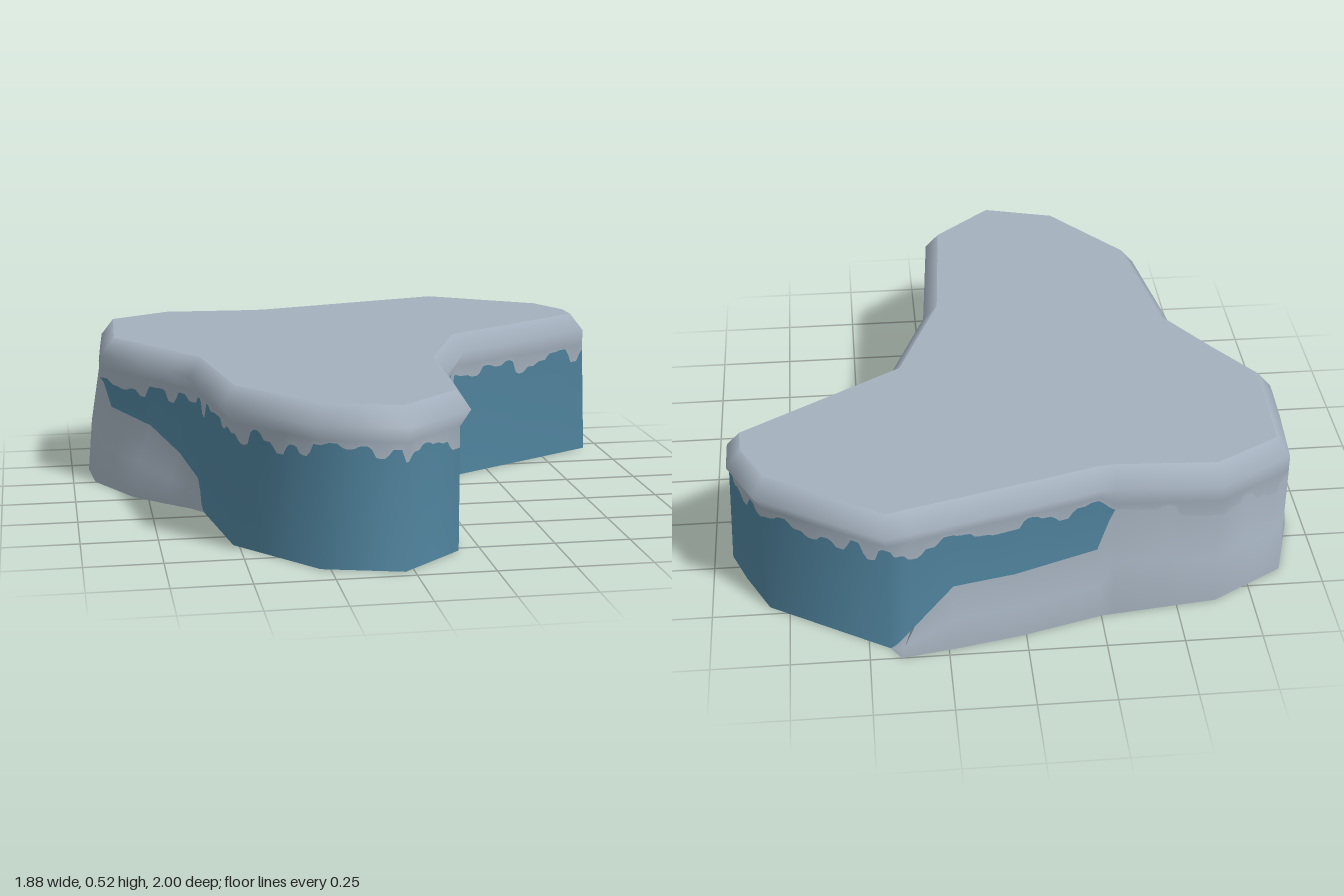
import * as THREE from 'three';

// Corners of the plateau, anticlockwise from the front tip:
// [rim x, rim z, drift height, base x, base z, wall inset]
const FULL = 0.4;
const corners = [
  [-0.02, 0.995], [0.21, 0.79], [0.25, 0.27], [0.39, -0.1],
  [0.925, -0.44, 0, 0.94, -0.44, 0], [0.925, -0.57], [0.84, -0.74], [0.44, -0.985],
  [0.36, -0.965, 0.05, 0.4, -1], [0.22, -0.928, 0.19, 0.22, -0.97],
  [0.02, -0.873, 0.18, 0.02, -0.93], [-0.25, -0.798, 0.2, -0.25, -0.855],
  [-0.29, -0.793, FULL, -0.29, -0.85], [-0.63, -0.81, FULL, -0.63, -0.81],
  [-0.87, -0.67, FULL, -0.87, -0.67], [-0.885, -0.44, FULL, -0.94, -0.44],
  [-0.89, -0.3, FULL, -0.925, -0.28], [-0.89, -0.26, 0.27, -0.92, -0.25],
  [-0.76, -0.07, 0.24, -0.8, -0.03], [-0.67, 0.065, 0.17, -0.7, 0.07],
  [-0.62, 0.14, 0.1, -0.62, 0.145], [-0.61, 0.21], [-0.55, 0.61], [-0.3, 0.92],
];
const TOP = 0.52, RIM = 0.46, UNDER = 0.405;

// Ragged lower border of the cap, as a function of distance along the outline
const hash = (i) => { const v = Math.sin(i * 127.1 + 3.7) * 43758.5453; return v - Math.floor(v); };
function ragged(s) {
  const c = s / 0.055, i = Math.floor(c);
  const f = THREE.MathUtils.smoothstep(c - i, 0.25, 0.75);
  return 0.335 + 0.065 * THREE.MathUtils.lerp(hash(i), hash(i + 1), f);
}

// Outward normal, wall line and base line at each corner
function prepareCorners() {
  const n = corners.length;
  const pt = (i) => new THREE.Vector2(corners[(i + n) % n][0], corners[(i + n) % n][1]);
  const edgeNormal = (a, b) => { const d = b.clone().sub(a).normalize(); return new THREE.Vector2(-d.y, d.x); };
  return corners.map(([x, z, drift = 0, bx, bz, inset = 0.035], i) => {
    const rim = pt(i);
    const normal = edgeNormal(pt(i - 1), rim).add(edgeNormal(rim, pt(i + 1))).normalize();
    let under = rim.clone().addScaledVector(normal, -inset);
    const base = bx === undefined ? under.clone() : new THREE.Vector2(bx, bz);
    if (drift === FULL) under = rim.clone().lerp(base, 0.12);
    const top = rim.clone().addScaledVector(normal, -0.05);
    return { rim, normal, under, base, top, drift };
  });
}

// Fine columns along the outline, each a stack of seven points from ground to top
function buildColumns() {
  const list = prepareCorners(), columns = [];
  let s = 0;
  list.forEach((a, k) => {
    const b = list[(k + 1) % list.length];
    const length = a.rim.distanceTo(b.rim);
    const steps = Math.max(1, Math.ceil(length / 0.015));
    for (let j = 0; j < steps; j++) {
      const t = j / steps;
      const mix = (key) => a[key].clone().lerp(b[key], t);
      const normal = mix('normal').normalize();
      const base = mix('base'), under = mix('under');
      const border = ragged(s + t * length);
      const drift = Math.min(THREE.MathUtils.lerp(a.drift, b.drift, t), border);
      const foot = base.clone().lerp(under, Math.min(1, drift / 0.05));
      const row = (p, y, tilt) => ({
        p: [p.x, y, p.y],
        n: [normal.x * Math.cos(tilt), Math.sin(tilt), normal.y * Math.cos(tilt)],
      });
      columns.push([
        row(base, 0, 0.05),
        row(base.clone().lerp(foot, 0.35), drift / 2, 0.2),
        row(foot, drift, 0.08),
        row(under, border, 0),
        row(under, UNDER, -0.1),
        row(mix('rim'), RIM, 0.3),
        row(mix('top'), TOP, 1.2),
      ]);
    }
    s += length;
  });
  return columns;
}

// Band of the shell between two rows; zero-height pieces are left out
function band(columns, from, to) {
  const pos = [], nor = [];
  const n = columns.length;
  for (let i = 0; i < n; i++) {
    const a = columns[i], b = columns[(i + 1) % n];
    for (let r = from; r < to; r++) {
      if (a[r + 1].p[1] - a[r].p[1] < 1e-4 && b[r + 1].p[1] - b[r].p[1] < 1e-4) continue;
      for (const v of [a[r], b[r], b[r + 1], a[r], b[r + 1], a[r + 1]]) {
        pos.push(...v.p);
        nor.push(...v.n);
      }
    }
  }
  const g = new THREE.BufferGeometry();
  g.setAttribute('position', new THREE.Float32BufferAttribute(pos, 3));
  g.setAttribute('normal', new THREE.Float32BufferAttribute(nor, 3));
  return g;
}

export function createModel() {
  const group = new THREE.Group();
  group.name = 'plateau';
  const snow = new THREE.MeshStandardMaterial({ color: 0xa3b0bd, side: THREE.DoubleSide });
  snow.name = 'pale grey';
  const ice = new THREE.MeshStandardMaterial({ color: 0x4f829c, side: THREE.DoubleSide });
  ice.name = 'steel blue';
  const add = (name, geometry, material) => {
    const mesh = new THREE.Mesh(geometry, material);
    mesh.name = name;
    group.add(mesh);
  };

  const columns = buildColumns();
  add('drift', band(columns, 0, 2), snow);
  add('wall', band(columns, 2, 3), ice);
  add('rim', band(columns, 3, 6), snow);

  // Flat top, open underneath
  const outline = columns.map((c) => new THREE.Vector2(c[6].p[0], -c[6].p[2]));
  const top = new THREE.ShapeGeometry(new THREE.Shape(outline));
  top.rotateX(-Math.PI / 2).translate(0, TOP, 0);
  add('top', top, snow);
  return group;
}
